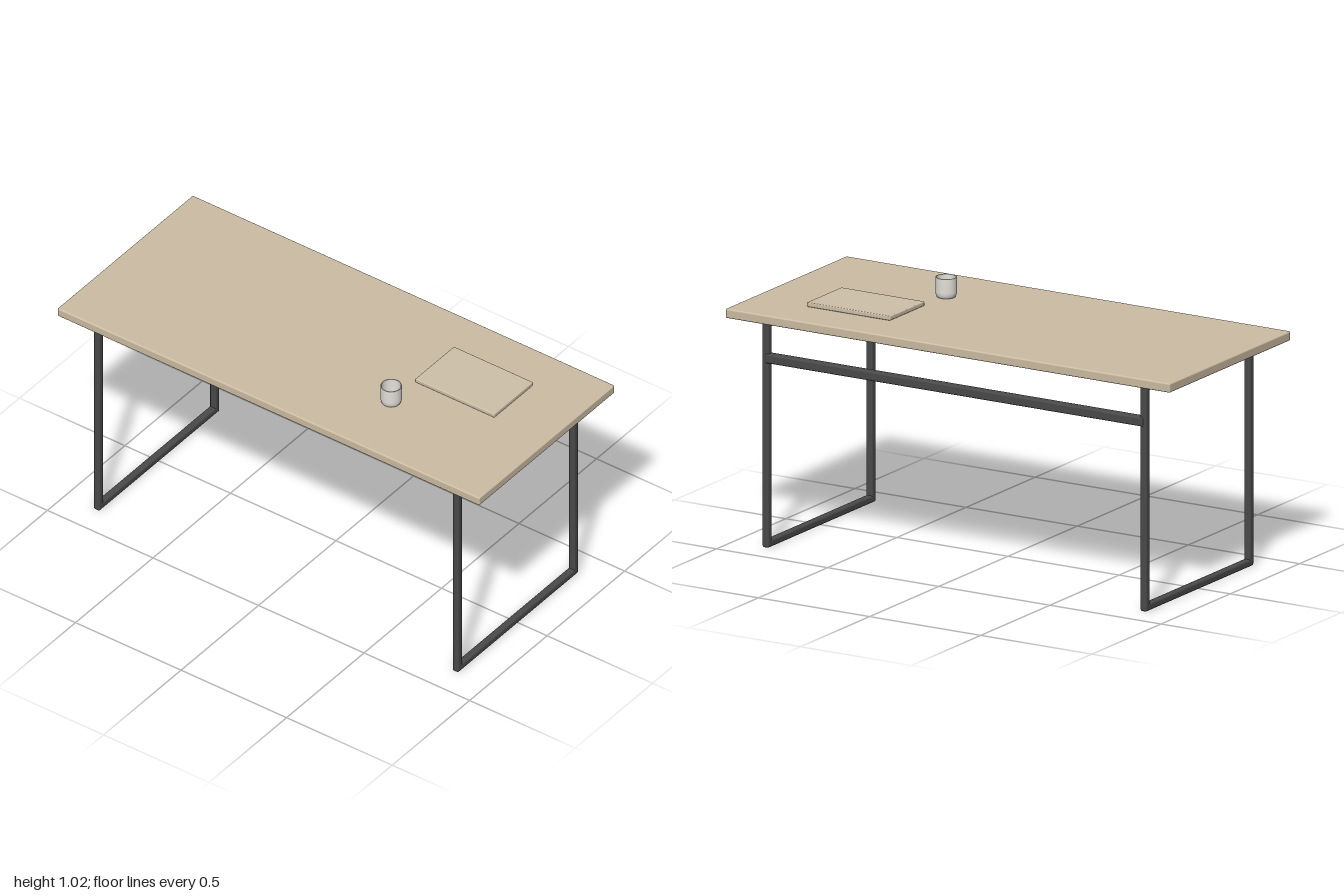
import * as THREE from 'three';
import { RoundedBoxGeometry } from 'three/addons/geometries/RoundedBoxGeometry.js';

const wood = new THREE.MeshStandardMaterial({ color: 0xcdbda4 });
const cover = new THREE.MeshStandardMaterial({ color: 0xcfc1aa });
const steel = new THREE.MeshStandardMaterial({ color: 0x4a4a4a });
const ceramic = new THREE.MeshStandardMaterial({ color: 0xe2dfd8 });

// Rounded box given by its size and centre
function block(name, size, position, radius, material) {
  const mesh = new THREE.Mesh(new RoundedBoxGeometry(...size, 3, radius), material);
  mesh.name = name;
  mesh.position.set(...position);
  return mesh;
}

// Closed rectangular loop of tube that carries one end of the top
function legFrame(name, x) {
  const frame = new THREE.Group();
  frame.name = name;
  frame.position.x = x;
  const t = 0.029, height = 0.902, z = 0.375, r = 0.008;
  for (const side of [1, -1]) {
    frame.add(block(side > 0 ? 'frontLeg' : 'backLeg', [t, height, t], [0, height / 2, side * z], r, steel));
  }
  frame.add(block('footRail', [t, t, 2 * z], [0, t / 2, 0], r, steel));
  frame.add(block('topRail', [t, t, 2 * z], [0, height - t / 2, 0], r, steel));
  return frame;
}

// Hollow cup with a narrowed base
function cup() {
  const points = [
    [0, 0], [0.034, 0], [0.036, 0.002], [0.039, 0.008], [0.041, 0.016], [0.0415, 0.024],
    [0.0415, 0.078], [0.0405, 0.08], [0.038, 0.08], [0.037, 0.078],
    [0.037, 0.022], [0.034, 0.01], [0.03, 0.006], [0, 0.006],
  ].map(([x, y]) => new THREE.Vector2(x, y));
  const mesh = new THREE.Mesh(new THREE.LatheGeometry(points, 40), ceramic);
  mesh.name = 'cup';
  mesh.position.set(0.373, 0.938, 0.152);
  return mesh;
}

export function createModel() {
  const desk = new THREE.Group();
  desk.name = 'desk';
  desk.add(block('tabletop', [2, 0.037, 0.875], [0, 0.9195, 0], 0.006, wood));
  desk.add(legFrame('leftLegFrame', 0.85), legFrame('rightLegFrame', -0.85));
  // Stretcher between the back legs
  desk.add(block('backStretcher', [1.7, 0.037, 0.037], [0, 0.752, -0.375], 0.007, steel));
  // Items on the top
  desk.add(block('notebook', [0.375, 0.018, 0.25], [0.5625, 0.947, -0.125], 0.004, cover));
  desk.add(cup());
  return desk;
}
